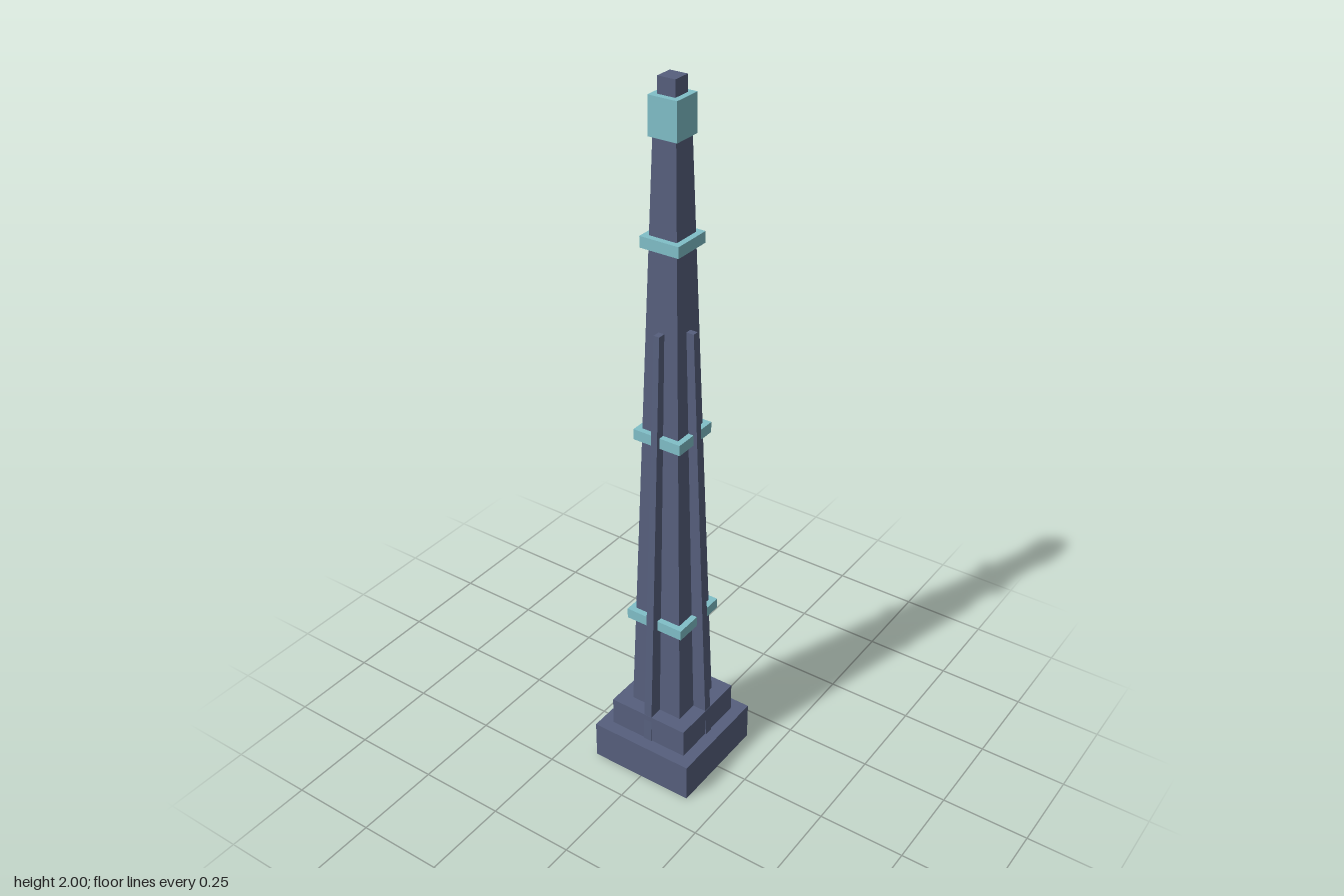
import * as THREE from 'three';

const stone = new THREE.MeshStandardMaterial({ color: 0x565f7d });
stone.name = 'slate blue';
const trim = new THREE.MeshStandardMaterial({ color: 0x80bfc8 });
trim.name = 'pale teal';

// Box between heights y0 and y1 whose footprint changes from bottom to top.
// Each footprint is [xMin, xMax, zHalf].
function taperedBox(y0, y1, bottom, top) {
  const geo = new THREE.BoxGeometry(1, 1, 1);
  const p = geo.attributes.position;
  for (let i = 0; i < p.count; i++) {
    const [xMin, xMax, zHalf] = p.getY(i) > 0 ? top : bottom;
    p.setXYZ(i, p.getX(i) > 0 ? xMax : xMin, p.getY(i) > 0 ? y1 : y0, Math.sign(p.getZ(i)) * zHalf);
  }
  geo.computeVertexNormals();
  return geo;
}

export function createModel() {
  const tower = new THREE.Group();
  tower.name = 'tower';

  const add = (name, geo, material) => {
    const mesh = new THREE.Mesh(geo, material);
    mesh.name = name;
    tower.add(mesh);
    return mesh;
  };
  const square = (name, material, y0, y1, half, topHalf = half) =>
    add(name, taperedBox(y0, y1, [-half, half, half], [-topHalf, topHalf, topHalf]), material);

  // Stepped base, tapering shaft and tip
  square('base', stone, 0, 0.114, 0.157);
  square('plinth', stone, 0.114, 0.199, 0.121);
  square('shaft', stone, 0.199, 1.865, 0.08, 0.033);
  square('tip', stone, 1.95, 2, 0.0246);

  // Bands around the shaft and the lantern block near the top
  square('lowerBand', trim, 0.488, 0.518, 0.088);
  square('middleBand', trim, 1.058, 1.088, 0.071);
  square('upperBand', trim, 1.587, 1.617, 0.0562);
  square('lantern', trim, 1.86, 1.958, 0.0405);

  // One tapering buttress on each side
  const finGeo = taperedBox(0.114, 1.372, [0.02, 0.124, 0.0125], [0.02, 0.0685, 0.0085]);
  ['left', 'back', 'right', 'front'].forEach((side, i) => {
    add(side + 'Buttress', finGeo, stone).rotation.y = (i * Math.PI) / 2;
  });

  return tower;
}
